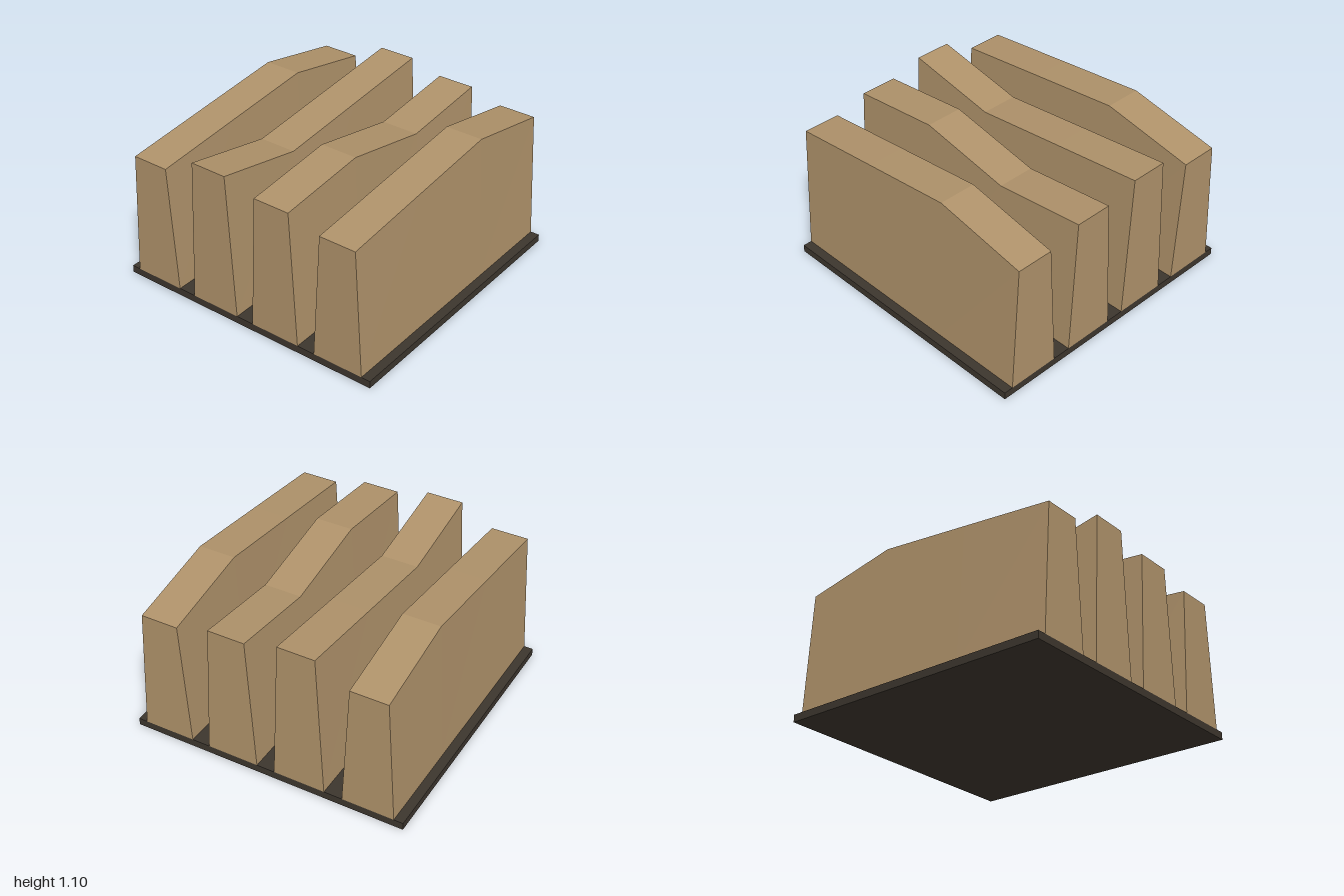
import * as THREE from 'three';

const BASE_TOP = 0.053;
const HEIGHTS = [0.96, 1.028, 1.095]; // ridge heights, repeated along each slab

// Tapered slab whose top steps through the heights at four stations along x
function slabGeometry(offset) {
  const box = new THREE.BoxGeometry(2, 1, 1, 3, 1, 1);
  const p = box.attributes.position;
  for (let i = 0; i < p.count; i++) {
    const top = p.getY(i) > 0;
    const station = Math.round((p.getX(i) + 1) * 1.5);
    p.setY(i, top ? HEIGHTS[(station + offset) % 3] : BASE_TOP);
    p.setZ(i, Math.sign(p.getZ(i)) * (top ? 0.133 : 0.185));
  }
  const geometry = box.toNonIndexed();
  geometry.computeVertexNormals();
  return geometry;
}

export function createModel() {
  const model = new THREE.Group();
  model.name = 'slabRows';

  const tan = new THREE.MeshStandardMaterial({ name: 'tan', color: 0xaf926a });
  const darkBrown = new THREE.MeshStandardMaterial({ name: 'darkBrown', color: 0x3d362e });

  // Base plate
  const base = new THREE.Mesh(new THREE.BoxGeometry(2, BASE_TOP, 2), darkBrown);
  base.name = 'basePlate';
  base.position.y = BASE_TOP / 2;
  model.add(base);

  // Four slabs from front to back, each starting one step further in the cycle
  for (let i = 0; i < 4; i++) {
    const slab = new THREE.Mesh(slabGeometry(i), tan);
    slab.name = `slab${i + 1}`;
    slab.position.z = 0.75 - i * 0.5;
    model.add(slab);
  }
  return model;
}
